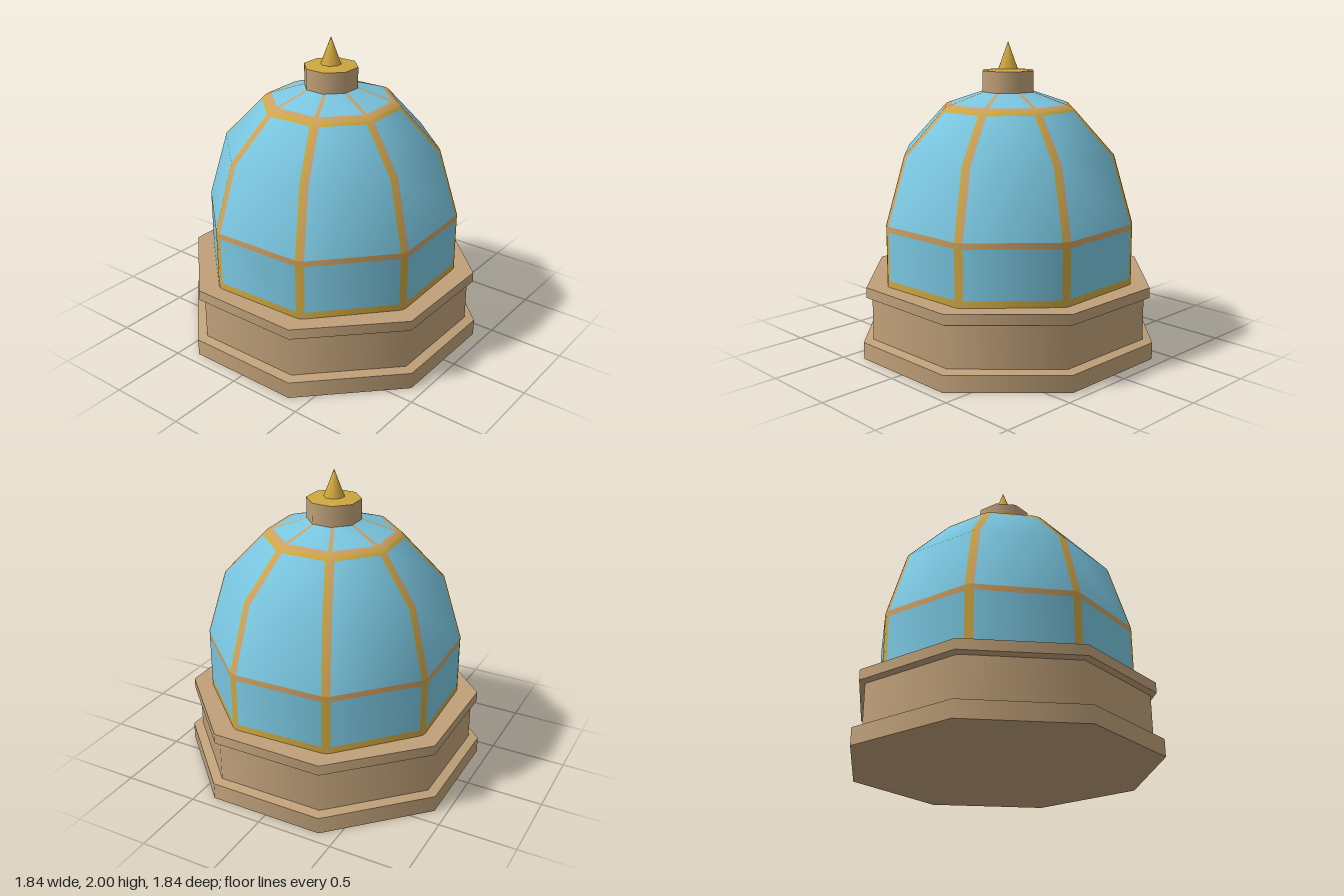
import * as THREE from 'three';

const mat = (name, color, side = THREE.FrontSide) => {
  const m = new THREE.MeshStandardMaterial({ color, side });
  m.name = name;
  return m;
};

const STEP = Math.PI / 4;
const K = Math.cos(Math.PI / 8);

// Octagonal course: each profile segment is its own ring, so its edges stay sharp
// while the shading runs smoothly around. Profile points are [apothem, y].
function course(name, profile, material, parent) {
  const group = new THREE.Group();
  group.name = name;
  for (let i = 0; i < profile.length - 1; i++) {
    const pts = [profile[i], profile[i + 1]].map(([a, y]) => new THREE.Vector2(a / K, y));
    const mesh = new THREE.Mesh(new THREE.LatheGeometry(pts, 8, Math.PI / 8), material);
    mesh.name = name + 'Face';
    group.add(mesh);
  }
  parent.add(group);
}

// Dome skin. Rows are [cornerRadius, y, ribHalfWidth, bandMaterial, ribMaterials],
// where the materials apply to the strip above the row.
function domeSkin(name, rows, materials) {
  const pos = [], nor = [], idx = [];
  const geo = new THREE.BufferGeometry();

  // Cross-section: at each corner a bevelled rib of three points
  const section = ([R, , d]) => {
    const out = [];
    for (let k = 0; k <= 8; k++) {
      const a = Math.PI / 8 + k * STEP;
      const c = [R * Math.sin(a), R * Math.cos(a)];
      const along = s => {
        const b = a + s * STEP, t = d / (2 * R * Math.sin(Math.PI / 8));
        return [c[0] + (R * Math.sin(b) - c[0]) * t, c[1] + (R * Math.cos(b) - c[1]) * t];
      };
      const f = 1 - d * 0.19 / R;
      out.push(along(-1), [c[0] * f, c[1] * f], along(1));
    }
    return out;
  };

  // Profile slope at each row, averaged from its neighbours
  rows.forEach((row, j) => {
    const p = rows[Math.max(j - 1, 0)], q = rows[Math.min(j + 1, rows.length - 1)];
    const len = Math.hypot(q[0] - p[0], q[1] - p[1]);
    const up = (p[0] - q[0]) / len, out = (q[1] - p[1]) / len;
    for (const [x, z] of section(row)) {
      const r = Math.hypot(x, z);
      pos.push(x, row[1], z);
      nor.push(x / r * out, up, z / r * out);
    }
  });

  const W = 27;
  for (let j = 0; j < rows.length - 1; j++) {
    for (let i = 0; i < 24; i++) {
      const a = j * W + i, b = a + 1, c = b + W, d = a + W;
      const part = i % 3;
      const m = part === 2 ? rows[j][3] : rows[j][4][part];
      geo.addGroup(idx.length, 6, m);
      idx.push(a, b, d, c, d, b);
    }
  }
  geo.setAttribute('position', new THREE.Float32BufferAttribute(pos, 3));
  geo.setAttribute('normal', new THREE.Float32BufferAttribute(nor, 3));
  geo.setIndex(idx);
  const mesh = new THREE.Mesh(geo, materials);
  mesh.name = name;
  return mesh;
}

export function createModel() {
  const model = new THREE.Group();
  model.name = 'domedTower';

  const stone = mat('stone', 0xc0a179);
  const blue = mat('dome blue', 0x7ac6e0);
  const gold = mat('gold', 0xcda63e);
  const copper = mat('copper', 0xcd9f62);

  // Stepped octagonal base with plinth and cornice
  course('base', [
    [0.0001, 0], [0.922, 0], [0.922, 0.11], [0.862, 0.123], [0.862, 0.39],
    [0.897, 0.405], [0.897, 0.472], [0.7, 0.472],
  ], stone, model);

  // Dome, turned slightly against the base
  const dome = new THREE.Group();
  dome.name = 'dome';
  dome.rotation.y = 0.038;
  const skin = [blue, gold, copper];
  const B = 0, G = 1, C = 2;
  dome.add(
    domeSkin('domeDrum', [
      [0.843, 0.465, 0.03, G, [G, C]],
      [0.843, 0.515, 0.03, B, [G, G]],
      [0.843, 0.83, 0.03, C, [G, C]],
      [0.843, 0.868, 0.03],
    ], skin),
    domeSkin('domeShell', [
      [0.843, 0.868, 0.03, B, [G, C]],
      [0.715, 1.3, 0.03, B, [G, C]],
      [0.46, 1.568, 0.03, G, [G, C]],
      [0.435, 1.592, 0.028, C, [G, C]],
      [0.393, 1.607, 0.015, B, [C, C]],
      [0.17, 1.682, 0.01],
    ], skin),
  );
  model.add(dome);

  // Neck, its gold cap, and the spike
  course('neck', [[0.162, 1.66], [0.162, 1.815]], stone, model);
  course('neckCap', [[0.162, 1.815], [0.0001, 1.832]], gold, model);
  course('spike', [[0.063, 1.822], [0.0001, 2]], gold, model);

  return model;
}
